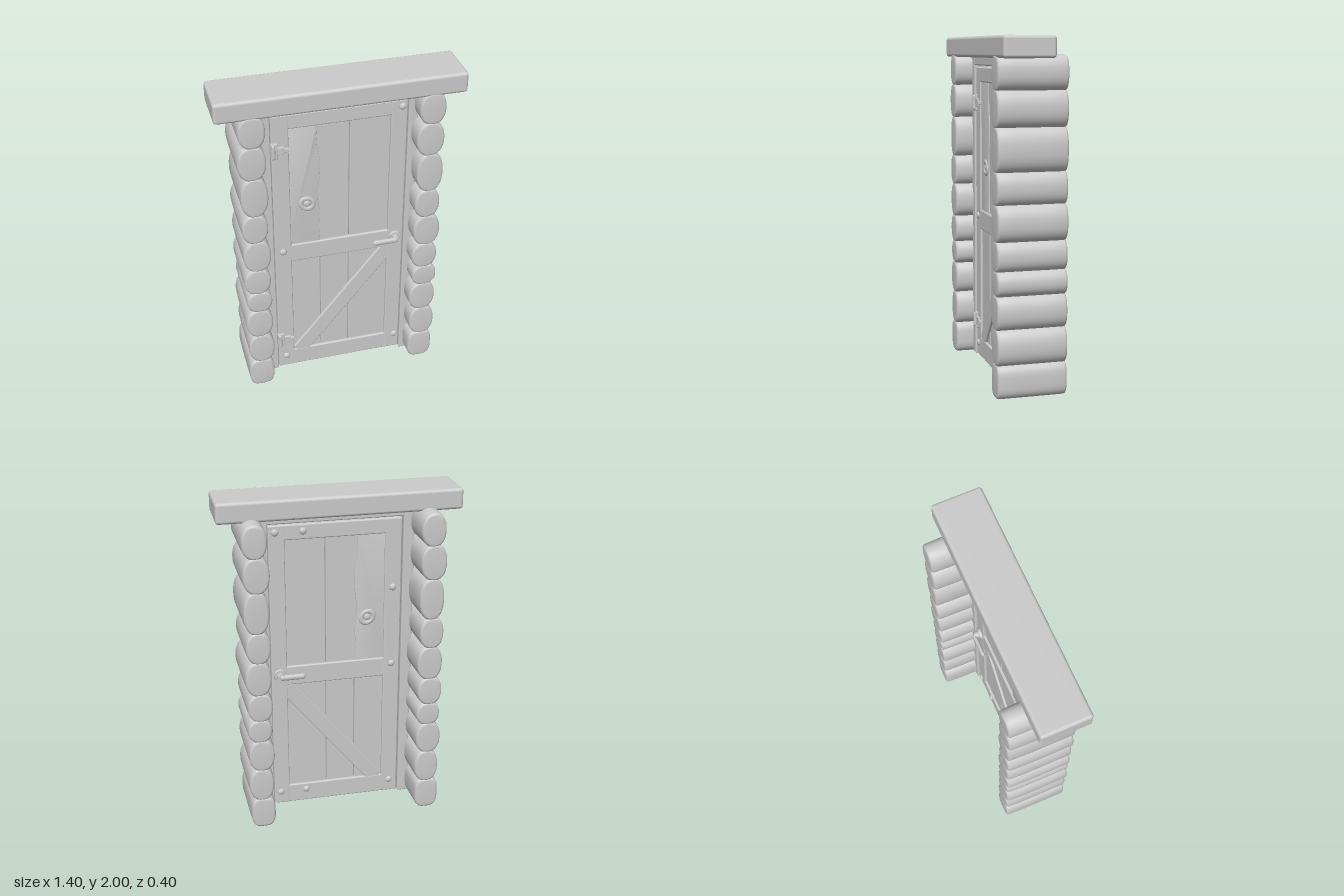
import * as THREE from 'three';
import { RoundedBoxGeometry } from 'three/addons/geometries/RoundedBoxGeometry.js';
import { toCreasedNormals } from 'three/addons/utils/BufferGeometryUtils.js';

const material = new THREE.MeshStandardMaterial({ color: 0xcccccc });

function add(parent, name, geometry, x = 0, y = 0, z = 0) {
  const mesh = new THREE.Mesh(geometry, material);
  mesh.name = name;
  mesh.position.set(x, y, z);
  parent.add(mesh);
  return mesh;
}

// Rounded board given by its limits
function board(parent, name, x0, x1, y0, y1, z0, z1, r = 0.008) {
  const geometry = new RoundedBoxGeometry(x1 - x0, y1 - y0, z1 - z0, 3, r);
  return add(parent, name, geometry, (x0 + x1) / 2, (y0 + y1) / 2, (z0 + z1) / 2);
}

// Log lying along z: squarish oval section, softened ends, narrower at the back
function logGeometry(width, height, power) {
  const bevel = 0.014, points = [];
  for (let i = 0; i < 36; i++) {
    const a = (i / 36) * Math.PI * 2, c = Math.cos(a), s = Math.sin(a);
    points.push(new THREE.Vector2(
      Math.sign(c) * Math.abs(c) ** (2 / power) * (width / 2 - bevel),
      Math.sign(s) * Math.abs(s) ** (2 / power) * (height / 2 - bevel)));
  }
  const depth = 0.4 - 2 * bevel;
  const geometry = new THREE.ExtrudeGeometry(new THREE.Shape(points), {
    depth, steps: 4, bevelSize: bevel, bevelThickness: bevel, bevelSegments: 3 });
  geometry.translate(0, 0, -depth / 2);
  const p = geometry.attributes.position;
  for (let i = 0; i < p.count; i++) {
    const t = Math.max(0, -p.getZ(i) / 0.2);
    p.setX(i, p.getX(i) * (1 - 0.07 * t * t));
  }
  return toCreasedNormals(geometry, 0.7);
}

function buildLogColumn(side) {
  const column = new THREE.Group();
  column.name = side < 0 ? 'rightLogColumn' : 'leftLogColumn';
  const seams = [0.01, 0.2, 0.4, 0.59, 0.725, 0.89, 1.09, 1.27, 1.51, 1.71, 1.9];
  for (let i = 0; i < seams.length - 1; i++) {
    const first = i === 0, last = i === seams.length - 2;
    const bottom = seams[i] - (first ? 0 : 0.007);
    const top = seams[i + 1] + (last ? 0 : 0.007);
    const width = first ? 0.152 : 0.15 + 0.01 * ((i * 7) % 3) / 2;
    add(column, 'log', logGeometry(width, top - bottom, first ? 3.6 : 2.35),
      side * 0.506 + (i % 2 ? 0.003 : -0.003), (bottom + top) / 2, 0);
  }
  return column;
}

function buildHinge(y) {
  const hinge = new THREE.Group();
  hinge.name = 'hinge';
  hinge.position.set(-0.36, y, 0.088);
  board(hinge, 'hingePlate', -0.025, 0.015, -0.05, 0.05, -0.012, 0.008, 0.004);
  board(hinge, 'hingeStrap', 0, 0.055, -0.024, 0.024, -0.012, 0.006, 0.004);
  board(hinge, 'hingeTip', 0.05, 0.08, -0.012, 0.012, -0.012, 0.006, 0.004);
  add(hinge, 'hingePin', new THREE.CapsuleGeometry(0.011, 0.07, 4, 12), -0.01, 0, 0.008);
  return hinge;
}

function buildHandle(z, facing) {
  const handle = new THREE.Group();
  handle.name = facing > 0 ? 'frontHandle' : 'backHandle';
  handle.position.set(0.35, 0.9, z);
  const rose = add(handle, 'handleRose', new THREE.CylinderGeometry(0.034, 0.038, 0.016, 24), 0, 0, facing * 0.006);
  rose.rotation.x = facing * Math.PI / 2;
  const stem = add(handle, 'handleStem', new THREE.CylinderGeometry(0.02, 0.022, 0.04, 16), 0, 0, facing * 0.025);
  stem.rotation.x = facing * Math.PI / 2;
  const lever = add(handle, 'handleLever', new THREE.CapsuleGeometry(0.017, 0.12, 6, 14), -0.07, 0, facing * 0.042);
  lever.rotation.z = Math.PI / 2;
  lever.scale.z = 0.7;
  return handle;
}

// Upper board with a wavy edge, raised a little from its neighbours
function wavyBoardGeometry(depth) {
  const edge = new THREE.SplineCurve([[-0.108, 0.94], [-0.115, 1.05], [-0.11, 1.15], [-0.122, 1.27],
    [-0.108, 1.4], [-0.106, 1.5], [-0.125, 1.62], [-0.122, 1.74]].map(([x, y]) => new THREE.Vector2(x, y)));
  const shape = new THREE.Shape([new THREE.Vector2(-0.3, 0.94), ...edge.getPoints(28), new THREE.Vector2(-0.3, 1.74)]);
  const geometry = new THREE.ExtrudeGeometry(shape, {
    depth: depth - 0.008, bevelSize: 0.004, bevelThickness: 0.004, bevelSegments: 2 });
  return toCreasedNormals(geometry.translate(0, 0, 0.004 - depth / 2), 0.6);
}

function buildDoor() {
  const door = new THREE.Group();
  door.name = 'door';
  const z0 = 0.027, z1 = 0.083, mid = (z0 + z1) / 2;

  // Stiles, rails and brace
  board(door, 'hingeStile', -0.38, -0.28, 0.02, 1.82, z0, z1);
  board(door, 'latchStile', 0.305, 0.4, 0.02, 1.82, z0, z1);
  for (const [name, y0, y1] of [['bottomRail', 0.02, 0.14], ['middleRail', 0.83, 0.95], ['topRail', 1.73, 1.82]])
    board(door, name, -0.3, 0.32, y0, y1, z0 + 0.001, z1 - 0.001);
  const brace = add(door, 'brace', new RoundedBoxGeometry(0.92, 0.098, 0.052, 3, 0.008), 0.042, 0.484, mid);
  brace.rotation.z = THREE.MathUtils.degToRad(51.2);

  // Infill boards and narrow inner trim
  for (const [y0, y1, upper] of [[0.13, 0.84, false], [0.94, 1.74, true]]) {
    if (!upper) board(door, 'infillBoard', -0.3, -0.107, y0, y1, mid - 0.014, mid + 0.014, 0.004);
    board(door, 'infillBoard', upper ? -0.13 : -0.104, 0.068, y0, y1, mid - 0.012, mid + 0.012, 0.004);
    board(door, 'infillBoard', 0.071, 0.32, y0, y1, mid - 0.013, mid + 0.013, 0.004);
  }
  add(door, 'wavyBoard', wavyBoardGeometry(0.036), 0, 0, mid);

  // Knot in the wavy board, on both faces
  for (const facing of [1, -1]) {
    const ring = add(door, 'knotRing', new THREE.TorusGeometry(0.036, 0.014, 10, 24), -0.18, 1.22, mid + facing * 0.017);
    ring.scale.set(1.1, 0.95, 0.6);
    ring.rotation.z = -0.7;
    const heart = add(door, 'knotHeart', new THREE.SphereGeometry(0.022, 16, 10), -0.18, 1.22, mid + facing * 0.016);
    heart.scale.z = 0.4;
  }

  // Domed bolts
  const bolts = [[0.37, 1.78, 1], [0.37, 0.125, 1], [-0.33, 0.91, 1], [-0.33, 0.1, 1],
    [0.36, 1.78, -1], [0.2, 1.78, -1], [0.36, 0.1, -1], [0.2, 0.1, -1],
    [-0.33, 1.4, -1], [-0.33, 0.91, -1], [-0.33, 0.1, -1]];
  for (const [x, y, facing] of bolts) {
    const bolt = add(door, 'bolt', new THREE.SphereGeometry(0.021, 16, 10), x, y, facing > 0 ? z1 : z0);
    bolt.scale.z = 0.6;
  }

  door.add(buildHinge(1.605), buildHinge(0.24), buildHandle(z1, 1), buildHandle(z0, -1));
  return door;
}

export function createModel() {
  const model = new THREE.Group();
  model.name = 'logDoorway';

  board(model, 'lintel', -0.7, 0.7, 1.88, 2, -0.09, 0.2, 0.018);
  model.add(buildLogColumn(-1), buildLogColumn(1));

  // Door frame
  board(model, 'hingeJamb', -0.45, -0.384, 0.015, 1.89, 0.015, 0.092);
  board(model, 'latchJamb', 0.403, 0.46, 0.005, 1.89, 0.015, 0.092);
  board(model, 'headJamb', -0.4, 0.42, 1.83, 1.89, 0.016, 0.091);

  model.add(buildDoor());
  return model;
}
